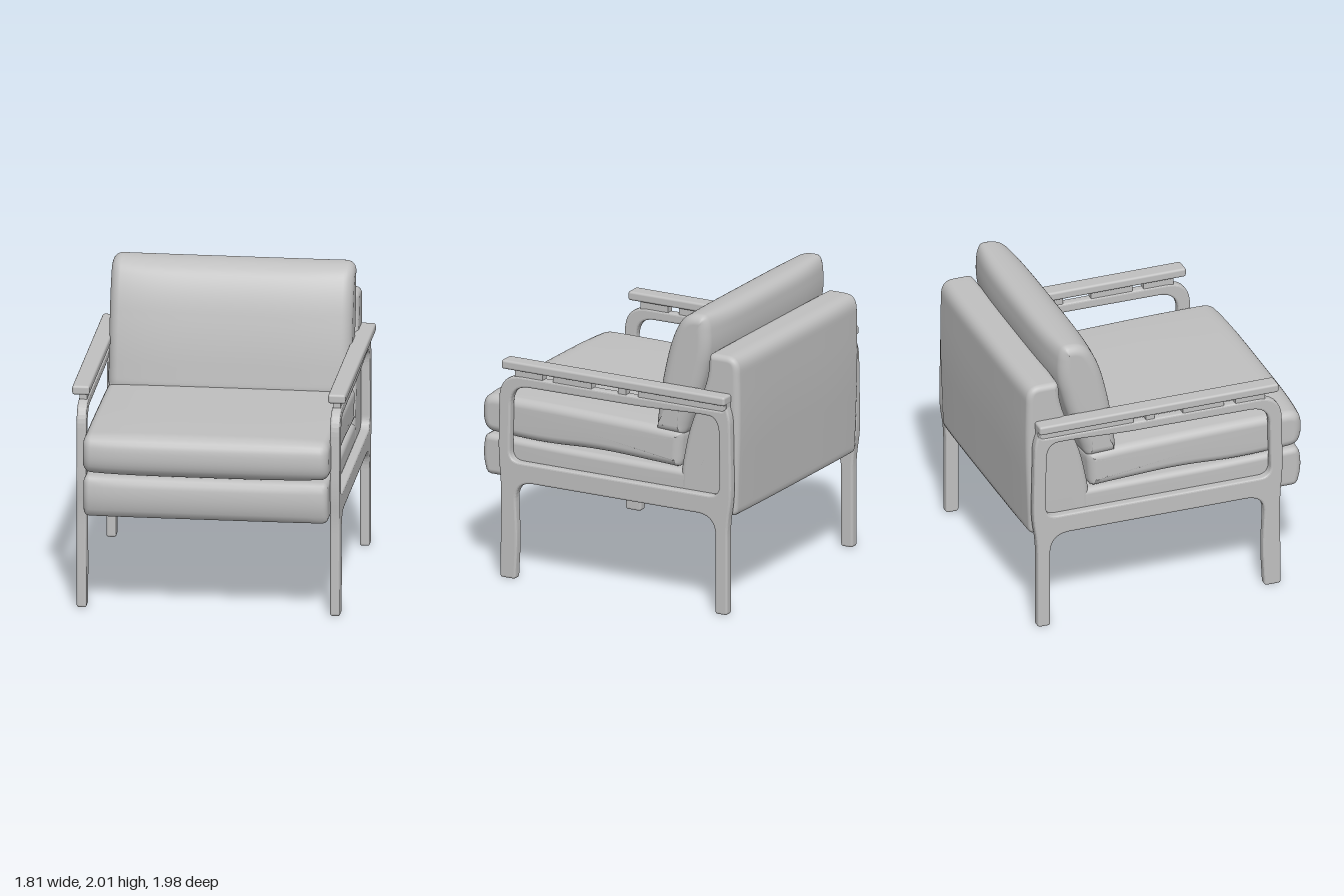
import * as THREE from 'three';
import { RoundedBoxGeometry } from 'three/addons/geometries/RoundedBoxGeometry.js';

const grey = new THREE.MeshStandardMaterial({ color: 0xc0c0c0 });
grey.name = 'plainGrey';

// Rounded polygon from [z, y, cornerRadius] points
function roundedPath(points, Type = THREE.Shape) {
  const path = new Type();
  const n = points.length;
  points.forEach(([z, y, r], i) => {
    const p = new THREE.Vector2(z, y);
    const toward = ([a, b]) => {
      const d = new THREE.Vector2(a, b).sub(p);
      return d.setLength(Math.min(r, d.length() * 0.5)).add(p);
    };
    const start = toward(points[(i + n - 1) % n]);
    const end = toward(points[(i + 1) % n]);
    if (i === 0) path.moveTo(start.x, start.y);
    else path.lineTo(start.x, start.y);
    path.quadraticCurveTo(z, y, end.x, end.y);
  });
  path.closePath();
  return path;
}

// Padded block: a side profile lofted across x, with rounded ends and a soft crown
function paddedBlock(points, half, round, crownZ, crownY) {
  const profile = roundedPath(points).getSpacedPoints(128);
  profile.pop();
  if (THREE.ShapeUtils.area(profile) < 0) profile.reverse();
  const n = profile.length;
  const normals = profile.map((p, j) => {
    const t = profile[(j + 1) % n].clone().sub(profile[(j + n - 1) % n]).normalize();
    return new THREE.Vector2(t.y, -t.x);
  });

  // Stations across the width: [x, inset]
  const stations = [];
  const steps = 6;
  for (let k = 0; k <= steps; k++) {
    const a = (k / steps) * Math.PI / 2;
    stations.push([-half + round * (1 - Math.sin(a)), round * (1 - Math.cos(a))]);
  }
  stations.reverse();
  const ends = stations.map(([x, inset]) => [x, inset]);
  const left = [], inner = half - round;
  for (let k = 0; k <= steps; k++) {
    const a = (k / steps) * Math.PI / 2;
    left.push([-inner - round * Math.cos(a), round * (1 - Math.sin(a))]);
  }
  const middle = [];
  for (let k = 1; k < 16; k++) middle.push([-inner + (2 * inner * k) / 16, 0]);
  const right = left.map(([x, inset]) => [-x, inset]).reverse();
  const rings = [...left, ...middle, ...right];

  const pos = [], index = [];
  for (const [x, inset] of rings) {
    const fall = Math.pow(Math.abs(x) / half, 4);
    profile.forEach((p, j) => {
      pos.push(x,
        p.y - normals[j].y * (inset + crownY * fall),
        p.x - normals[j].x * (inset + crownZ * fall));
    });
  }
  for (let i = 0; i < rings.length - 1; i++) {
    for (let j = 0; j < n; j++) {
      const a = i * n + j, c = i * n + (j + 1) % n;
      index.push(a, a + n, c, a + n, c + n, c);
    }
  }
  // End caps
  const mid = profile.reduce((s, p) => s.add(p), new THREE.Vector2()).divideScalar(n);
  const last = (rings.length - 1) * n, centre = rings.length * n;
  pos.push(-half, mid.y, mid.x, half, mid.y, mid.x);
  for (let j = 0; j < n; j++) {
    const k = (j + 1) % n;
    index.push(centre, j, k, centre + 1, last + k, last + j);
  }
  const geometry = new THREE.BufferGeometry();
  geometry.setAttribute('position', new THREE.Float32BufferAttribute(pos, 3));
  geometry.setIndex(index);
  geometry.computeVertexNormals();
  return geometry;
}

function addMesh(parent, name, geometry) {
  const mesh = new THREE.Mesh(geometry, grey);
  mesh.name = name;
  parent.add(mesh);
  return mesh;
}

// One wooden side: legs, rails and posts cut from a single board
function sideFrameGeometry() {
  const outline = roundedPath([
    [0.79, 0, 0.02], [0.785, 0.65, 0.1], [0.805, 0.85, 0.1], [0.795, 1.405, 0.17],
    [0, 1.405, 0], [-0.9, 1.405, 0.02], [-0.91, 1.46, 0.01], [-0.945, 1.36, 0.05],
    [-0.955, 0.8, 0.1], [-0.925, 0.62, 0.1], [-0.925, 0, 0.02],
    [-0.835, 0, 0.02], [-0.835, 0.675, 0.14], [0.68, 0.675, 0.14],
    [0.66, 0.28, 0.1], [0.675, 0, 0.02],
  ]);
  outline.holes.push(roundedPath([
    [0.72, 0.81, 0.08], [0.71, 1.335, 0.14], [-0.3, 1.34, 0.1], [-0.7, 1.36, 0.1],
    [-0.86, 1.355, 0.12], [-0.865, 0.81, 0.08],
  ], THREE.Path));
  const b = 0.014;
  const geometry = new THREE.ExtrudeGeometry(outline, {
    depth: 0.065 - 2 * b, bevelEnabled: true, bevelThickness: b, bevelSize: b,
    bevelOffset: -b, bevelSegments: 3, curveSegments: 10,
  });
  geometry.rotateY(-Math.PI / 2);
  geometry.computeBoundingBox();
  const { min, max } = geometry.boundingBox;
  geometry.translate(-(min.x + max.x) / 2, 0, 0);
  return geometry;
}

export function createModel() {
  const chair = new THREE.Group();
  chair.name = 'armchair';

  // Upholstered body
  addMesh(chair, 'seatBase', paddedBlock([
    [0.95, 0.67, 0.05], [0.985, 0.8, 0.1], [0.965, 0.95, 0.06], [0.3, 0.935, 0.1],
    [-0.8, 0.93, 0.05], [-0.8, 0.67, 0.02],
  ], 0.81, 0.04, 0.02, 0));
  addMesh(chair, 'backPanel', paddedBlock([
    [-0.52, 0.67, 0.02], [-0.53, 0.95, 0.05], [-0.58, 1.2, 0.1], [-0.73, 1.6, 0.1],
    [-0.74, 1.765, 0.04], [-0.98, 1.765, 0.1], [-0.988, 1.3, 0.2], [-0.965, 0.67, 0.04],
  ], 0.812, 0.04, 0.01, 0));

  // Loose cushions
  addMesh(chair, 'seatCushion', paddedBlock([
    [0.95, 0.955, 0.08], [1.0, 1.06, 0.1], [0.975, 1.235, 0.12], [0.5, 1.235, 0.2],
    [-0.3, 1.215, 0.1], [-0.57, 1.2, 0.06], [-0.55, 0.925, 0.06], [0.1, 0.955, 0.2],
    [0.5, 0.93, 0.2],
  ], 0.815, 0.055, 0.03, 0.015));
  addMesh(chair, 'backCushion', paddedBlock([
    [-0.3, 1.17, 0.06], [-0.34, 1.5, 0.15], [-0.42, 1.83, 0.15], [-0.53, 2.0, 0.12],
    [-0.76, 2.01, 0.1], [-0.775, 1.78, 0.1], [-0.7, 1.5, 0.1], [-0.57, 1.16, 0.06],
  ], 0.805, 0.065, 0.04, -0.005));

  // Wooden sides, mirrored
  const frame = sideFrameGeometry();
  const armrest = new RoundedBoxGeometry(0.115, 0.062, 1.685, 3, 0.016);
  const spacers = [[0.68, 0.47], [0.39, 0.1], [-0.1, -0.16], [-0.25, -0.92]];
  for (const [side, sign] of [['left', 1], ['right', -1]]) {
    const group = new THREE.Group();
    group.name = side + 'Side';
    addMesh(group, 'sideFrame', frame).position.x = sign * 0.84;
    addMesh(group, 'armrest', armrest).position.set(sign * 0.848, 1.482, -0.08);
    // Short blocks carrying the armrest above the top rail
    for (const [front, back] of spacers) {
      const block = new THREE.BoxGeometry(0.05, 0.07, front - back);
      addMesh(group, 'armrestSpacer', block).position.set(sign * 0.84, 1.425, (front + back) / 2);
    }
    chair.add(group);
  }
  return chair;
}
